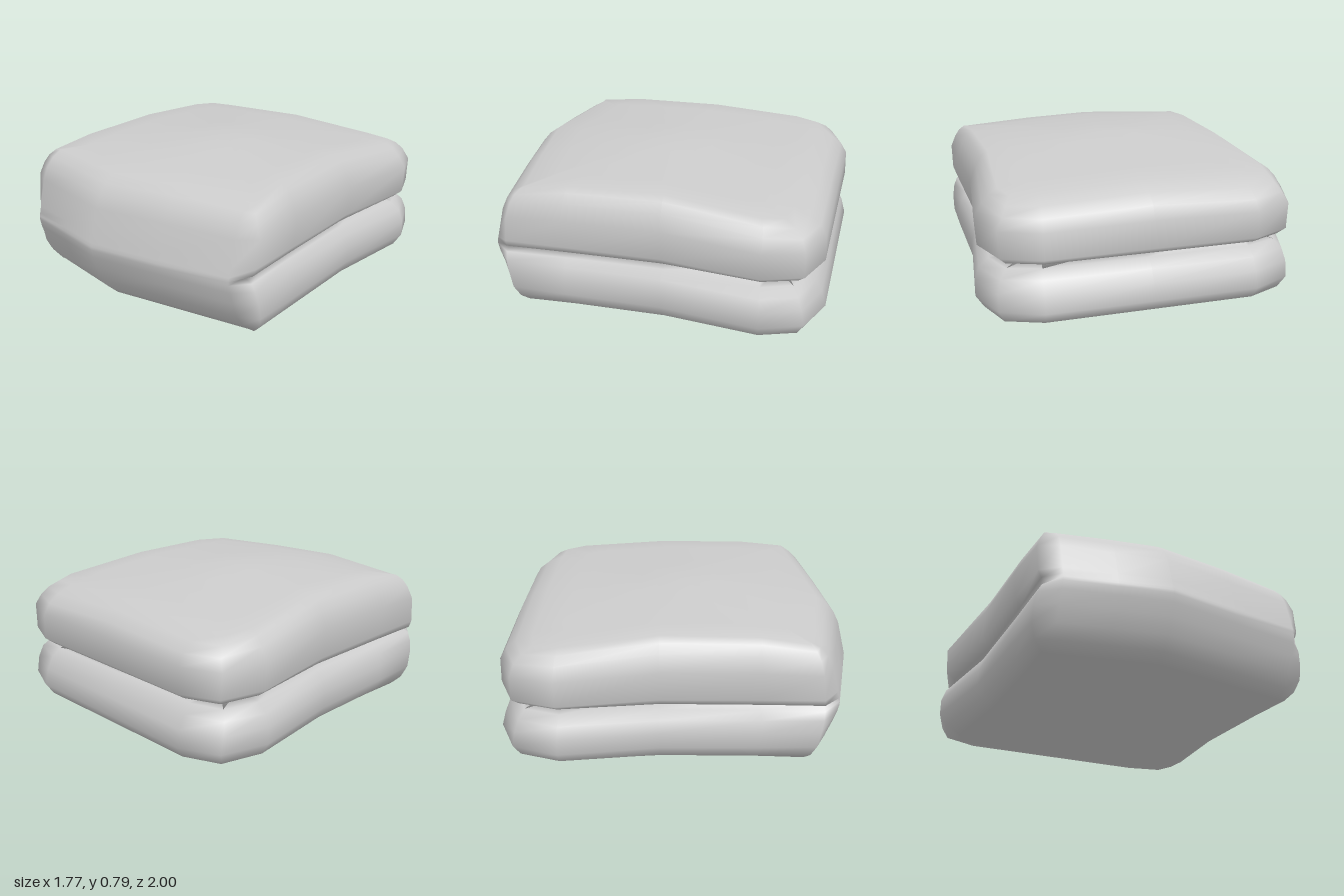
import * as THREE from 'three';

// Height of the softly domed top, by depth and width
const crown = [[-1, 0.68], [-0.75, 0.72], [0.03, 0.792], [0.5, 0.768], [0.82, 0.72], [1, 0.66]];
function topY(x, z) {
  let k = 0;
  while (k < crown.length - 2 && z > crown[k + 1][0]) k++;
  const [z0, y0] = crown[k], [z1, y1] = crown[k + 1];
  return y0 + (y1 - y0) * (z - z0) / (z1 - z0) - 0.045 * Math.abs(x);
}

// Plan outline, right half: x, z, then how far side, front, back and groove insets apply
const half = [
  [0.35, 0.94, 0, 1, 0, 0],
  [0.70, 0.88, 0.05, 1, 0, 0],
  [0.81, 0.79, 0.6, 0.5, 0, 0.5],
  [0.815, 0.45, 0.75, 0.1, 0, 0.8],
  [0.815, -0.1, 0.8, 0, 0, 1],
  [0.885, -0.65, 1, 0, 0.1, 1],
  [0.80, -0.89, 0.7, 0, 0.65, 1],
  [0.58, -0.985, 0.15, 0, 1, 1],
];
// Mirror the outline; the front peak sits a little off centre and the back is slightly askew
const side = (m) => half.map(([x, z, s, f, b, g], i) =>
  [m * x - (i === 0 ? 0.07 : 0), z + (b > 0.5 ? 0.012 * m : 0), m * s, f, b, g]);
const outline = [
  [-0.14, 1, 0, 1, 0, 0],
  ...side(1),
  [0, -0.985, 0, 0, 1, 1],
  ...side(-1).reverse(),
];

// Levels: y, follow crown, side inset, front inset, back inset, groove depth
const levels = [
  [0, 0, 0.13, 0.18, 0.22, 0],
  [0.05, 0, 0.045, 0.125, 0.05, 0],
  [0.12, 0, 0, 0.07, 0, 0],
  [0.21, 0, 0, 0.035, 0.025, 0],
  [0.28, 0, 0.015, 0.01, 0.05, 0.01],
  [0.325, 0, 0.03, 0, 0.06, 0.05],
  [0.345, 0, 0.03, 0, 0.06, 0.2],
  [0.365, 0, 0.03, 0.005, 0.03, 0.04],
  [0.41, 0.1, 0.02, 0.015, 0.02, 0],
  [0.57, 0.4, 0.01, 0.052, 0.025, 0],
  [0.65, 0.8, 0.055, 0.085, 0.06, 0],
  [0.695, 0.95, 0.095, 0.13, 0.12, 0],
  [0.72, 1, 0.14, 0.19, 0.21, 0],
];

function blanketGeometry() {
  const pos = [], index = [], n = outline.length;
  let rim = [];
  for (const [y, follow, ds, df, db, dg] of levels) {
    rim = outline.map(([x, z, s, f, b, g]) => {
      const px = x - s * (ds + dg * g);
      const pz = z - f * df + b * (db + dg * g);
      return [px, y + follow * (topY(px, pz) - 0.72), pz];
    });
    pos.push(...rim.flat());
  }
  // Rings that close in over the top
  const inner = [0.8, 0.55, 0.28];
  for (const k of inner) {
    for (const [x, , z] of rim) pos.push(x * k, topY(x * k, z * k), z * k);
  }
  const rings = levels.length + inner.length;
  for (let r = 0; r < rings - 1; r++) {
    for (let i = 0; i < n; i++) {
      const j = (i + 1) % n, a = r * n + i, b = r * n + j;
      index.push(a, b, b + n, a, b + n, a + n);
    }
  }
  // Centre points of the top and the flat underside
  const top = rings * n, bottom = top + 1;
  pos.push(0, topY(0, 0), 0, 0, 0, 0);
  for (let i = 0; i < n; i++) {
    const j = (i + 1) % n;
    index.push((rings - 1) * n + i, (rings - 1) * n + j, top, j, i, bottom);
  }
  const geo = new THREE.BufferGeometry();
  geo.setAttribute('position', new THREE.Float32BufferAttribute(pos, 3));
  geo.setIndex(index);
  geo.computeVertexNormals();
  return geo;
}

export function createModel() {
  const group = new THREE.Group();
  group.name = 'foldedBlanket';
  const cloth = new THREE.MeshStandardMaterial({ color: 0xcccccc });
  cloth.name = 'light grey cloth';
  const blanket = new THREE.Mesh(blanketGeometry(), cloth);
  blanket.name = 'foldedCloth';
  group.add(blanket);
  return group;
}
